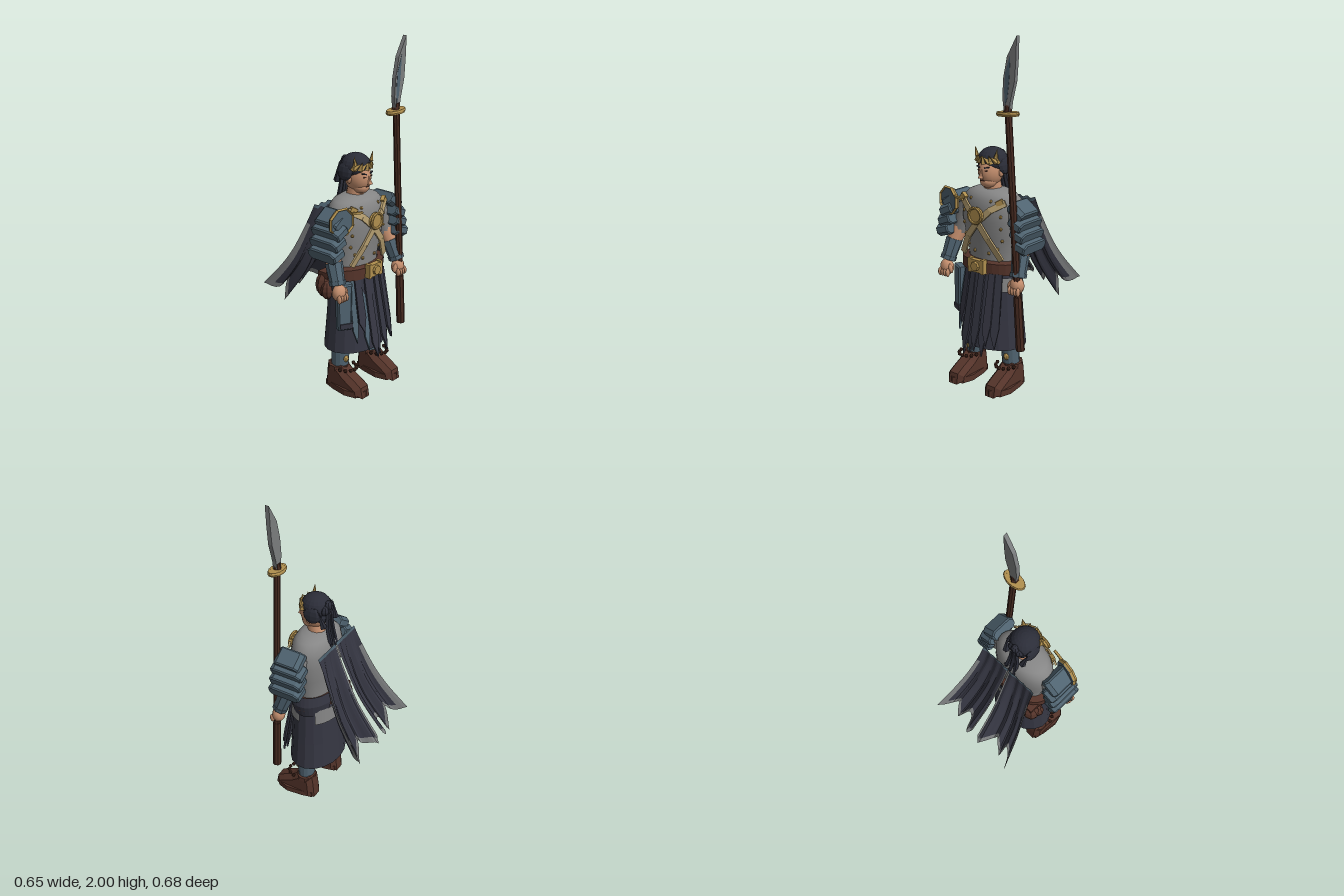
import * as THREE from 'three';

const mat = (name, color, extra = {}) => {
  const m = new THREE.MeshStandardMaterial({ color, ...extra });
  m.name = name;
  return m;
};
const flat = { flatShading: true };
const both = { side: THREE.DoubleSide, flatShading: true };

export function createModel() {
  const steel = mat('tunicGrey', 0x868686, { side: THREE.DoubleSide });
  const slate = mat('plateBlue', 0x4f6370, both);
  const navy = mat('clothNavy', 0x353642, both);
  const gold = mat('gold', 0xb08f4e, flat);
  const tan = mat('strapTan', 0xb7a071, flat);
  const skin = mat('skin', 0xc6906f);
  const brown = mat('leatherBrown', 0x55342a, flat);
  const wood = mat('darkWood', 0x45291f, flat);
  const blade = mat('bladeGrey', 0x7b7d7e, both);
  const hair = mat('hairBlack', 0x2b2d38, flat);

  const root = new THREE.Group();
  const add = (name, geo, m, p = [0, 0, 0], r = [0, 0, 0], s = [1, 1, 1], parent = root) => {
    const o = new THREE.Mesh(geo, m);
    o.name = name;
    o.position.set(...p);
    o.rotation.set(...r);
    o.scale.set(...s);
    parent.add(o);
    return o;
  };
  const V = a => new THREE.Vector3(...a);
  const box = (x, y, z) => new THREE.BoxGeometry(x, y, z);
  const ball = (a = 12, b = 8) => new THREE.SphereGeometry(1, a, b);
  // Tapered round limb from a to b
  const limb = (name, a, b, ra, rb, m, sides = 10) => {
    const d = V(b).sub(V(a));
    const o = add(name, new THREE.CylinderGeometry(rb, ra, d.length(), sides), m,
      V(a).addScaledVector(d, 0.5).toArray());
    o.quaternion.setFromUnitVectors(new THREE.Vector3(0, 1, 0), d.normalize());
  };
  // Flat band from a to b, facing forward
  const band = (name, a, b, w, t, m) => {
    const d = V(b).sub(V(a)), y = d.clone().normalize();
    const x = y.clone().cross(new THREE.Vector3(0, 0, 1)).normalize();
    const o = add(name, box(w, d.length() + 0.006, t), m, V(a).addScaledVector(d, 0.5).toArray());
    o.quaternion.setFromRotationMatrix(new THREE.Matrix4().makeBasis(x, y, x.clone().cross(y)));
  };
  // Oval turned shell; profile is [radius, y]
  const turned = (name, prof, m, depth, seg = 28, from = 0, sweep = Math.PI * 2) =>
    add(name, new THREE.LatheGeometry(prof.map(p => new THREE.Vector2(...p)), seg, from, sweep), m,
      [0, 0, 0.115], [0, 0, 0], [1, 1, depth]);
  const poly = pts => new THREE.Shape(pts.map(p => new THREE.Vector2(...p)));
  const plate = (pts, depth, bevel = 0) => new THREE.ExtrudeGeometry(poly(pts), {
    depth, bevelEnabled: bevel > 0, bevelSize: bevel, bevelThickness: bevel, bevelSegments: 1 });

  // Torso, neck, belt and skirt
  turned('torso', [[0.15, 0.66], [0.155, 0.78], [0.178, 0.88], [0.196, 0.98], [0.194, 1.05], [0.18, 1.1],
    [0.15, 1.13], [0.11, 1.147], [0.05, 1.155], [0, 1.155]], steel, 0.635);
  limb('neck', [0, 1.12, 0.11], [0, 1.22, 0.125], 0.055, 0.045, skin, 12);
  turned('belt', [[0.165, 0.68], [0.198, 0.685], [0.198, 0.748], [0.155, 0.757]], brown, 0.65);
  turned('skirt', [[0.165, 0.74], [0.175, 0.62], [0.19, 0.42], [0.207, 0.245], [0.18, 0.26]], navy, 0.75, 18);
  turned('hipCloth', [[0.195, 0.785], [0.206, 0.72], [0.186, 0.64]], navy, 0.68, 10, 1.15, 1.65);
  turned('sideLining', [[0.184, 0.67], [0.188, 0.59]], steel, 0.77, 6, 0.75, 0.75);
  turned('backLining', [[0.184, 0.68], [0.187, 0.58]], steel, 0.77, 8, 2.15, 1.0);
  add('buckle', box(0.1, 0.072, 0.03), gold, [0, 0.73, 0.255]);
  add('buckleBoss', new THREE.CylinderGeometry(0.026, 0.03, 0.02, 8), gold, [0, 0.73, 0.273], [Math.PI / 2, 0, 0]);
  for (const s of [-1, 1]) add('buckleWing', box(0.02, 0.082, 0.036), gold, [s * 0.045, 0.73, 0.253]);

  // Torn strips hanging at the front
  const strips = [[-0.125, 0.3, 1], [-0.095, 0.36, 0], [-0.065, 0.24, 1], [-0.04, 0.2, 0], [-0.01, 0.21, 0],
    [0.025, 0.23, 0], [0.055, 0.2, 0], [0.085, 0.27, 0], [0.12, 0.25, 0]];
  strips.forEach(([x, y, blue], i) => {
    const h = 0.68 - y, w = blue ? 0.017 : 0.024;
    add('frontStrip', plate([[-w * 0.8, 0], [-w, -h * 0.8], [w * 0.2, -h], [w, -h * 0.72], [w * 0.8, 0]], 0.012),
      blue ? slate : navy, [x, 0.69, 0.232 - Math.abs(x) * (x > 0 ? 0.22 : 0.35) + (i % 2) * 0.01],
      [-0.17 - (i % 2) * 0.03, x * 3, x * 0.25]);
  });
  // Hip plate and pouches
  add('hipPlate', plate([[-0.03, -0.13], [0.03, -0.13], [0.036, 0.13], [-0.036, 0.13]], 0.04, 0.008), slate,
    [-0.17, 0.54, 0.17], [0, -0.5, 0]);
  add('hipPlateEdge', box(0.075, 0.03, 0.06), navy, [-0.175, 0.43, 0.195], [0, -0.5, 0]);
  for (const [x, y, z, r] of [[-0.155, 0.62, 0.02, 0.055], [-0.1, 0.61, 0, 0.045], [-0.175, 0.6, 0.06, 0.04]])
    add('pouch', ball(8, 6), brown, [x, y, z], [0, 0, 0], [r, r * 1.4, r * 0.9]);
  add('pouchFlap', box(0.07, 0.035, 0.07), brown, [-0.145, 0.685, 0.03]);

  // Crossed straps, medallion and studs
  for (const s of [-1, 1]) {
    const pts = [[-0.155, 1.1, 0.2], [-0.08, 1.055, 0.24], [0, 0.98, 0.253], [0.07, 0.89, 0.246], [0.135, 0.775, 0.21]];
    for (let i = 0; i < 4; i++)
      band('chestStrap', [s * pts[i][0], pts[i][1], pts[i][2]], [s * pts[i + 1][0], pts[i + 1][1], pts[i + 1][2]], 0.036, 0.012, tan);
    add('strapClip', box(0.04, 0.028, 0.022), gold, [s * 0.125, 1.1, 0.21], [0, s * 0.4, s * 0.5]);
    for (const [x, y, z] of [[0.13, 1.02, 0.208], [0.13, 0.95, 0.207], [0.13, 0.88, 0.195], [0.07, 1.1, 0.217],
      [0.1, 0.83, 0.198], [0.05, 0.8, 0.214]])
      add('chestStud', ball(6, 4), gold, [s * x, y, z], [0, 0, 0], [0.01, 0.01, 0.01]);
  }
  add('medallion', new THREE.CylinderGeometry(0.042, 0.046, 0.02, 14), gold, [0, 1.02, 0.262], [Math.PI / 2, 0, 0]);
  add('medallionRim', new THREE.TorusGeometry(0.044, 0.008, 6, 14), gold, [0, 1.02, 0.273]);

  // Arms, shoulder plates, legs and boots
  const shoulder = plate([[-0.1, -0.018], [-0.08, -0.034], [0.08, -0.034], [0.1, -0.018],
    [0.1, 0.008], [0.075, 0.024], [-0.075, 0.024], [-0.1, 0.008]], 0.075, 0.007);
  shoulder.translate(0, 0, -0.0375).rotateY(Math.PI / 2);
  const tilt = [0.62, 0.45, 0.38, 0.32];
  const bootSide = plate([[0.075, 0.02], [0.08, 0.09], [0.085, 0.125], [0.145, 0.125], [0.19, 0.09], [0.25, 0.06],
    [0.285, 0.04], [0.29, 0.02]], 0.06, 0.028);
  bootSide.translate(0, 0, -0.03).rotateY(-Math.PI / 2);
  const sole = plate([[-0.045, 0.055], [0.045, 0.055], [0.062, 0.12], [0.074, 0.22], [0.055, 0.29], [0, 0.325],
    [-0.055, 0.29], [-0.074, 0.22], [-0.062, 0.12]], 0.035);
  sole.rotateX(Math.PI / 2).translate(0, 0.035, 0);
  for (const s of [-1, 1]) {
    limb('sleeve', [s * 0.17, 1.05, 0.125], [s * 0.225, 0.87, 0.135], 0.06, 0.05, steel);
    limb('elbow', [s * 0.222, 0.9, 0.135], [s * 0.243, 0.8, 0.175], 0.048, 0.043, skin);
    limb('bracer', [s * 0.24, 0.82, 0.17], [s * 0.255, 0.705, 0.212], 0.05, 0.042, slate, 8);
    limb('bracerCuff', [s * 0.252, 0.725, 0.205], [s * 0.255, 0.703, 0.213], 0.048, 0.046, slate, 8);
    add('hand', ball(10, 8), skin, [s * 0.255, 0.66, 0.222], [0, 0, 0], [0.042, 0.05, 0.038]);
    for (let i = 0; i < 4; i++)
      add('finger', ball(7, 5), skin, [s * (0.226 + i * 0.019), 0.635, 0.25], [0, 0, 0], [0.011, 0.026, 0.016]);
    add('thumb', ball(7, 5), skin, [s * 0.215, 0.66, 0.235], [0, 0, s * -0.3], [0.013, 0.028, 0.014]);
    tilt.forEach((t, i) => add('shoulderPlate', shoulder, slate,
      [s * (0.236 + i * 0.013), 1.066 - i * 0.06, 0.145], [0, 0, -s * t], [i ? 1 : 1.2, 1, i ? 0.94 : 0.75]));
    limb('leg', [s * 0.135, 0.1, 0.12], [s * 0.12, 0.42, 0.12], 0.048, 0.062, slate, 14);
    add('kneeStud', ball(8, 6), gold, [s * 0.14, 0.19, 0.172], [0, 0, 0], [0.018, 0.02, 0.014]);
    add('boot', bootSide, brown, [s * 0.138, 0, 0]);
    add('sole', sole, brown, [s * 0.138, 0, 0]);
    add('bootCuff', new THREE.CylinderGeometry(0.061, 0.063, 0.025, 10), brown, [s * 0.138, 0.132, 0.115]);
    for (let i = 0; i < 7; i++) {
      const a = (i - 3) * 0.42;
      add('ankleBead', ball(6, 4), wood, [s * 0.138 + Math.sin(a) * 0.062, 0.142, 0.15 + Math.cos(a) * 0.085],
        [0, 0, 0], [0.012, 0.012, 0.012]);
    }
  }
  // Eight-sided shoulder shield with an open rim
  const shield = new THREE.Group();
  shield.name = 'shoulderShield';
  shield.position.set(-0.233, 1.06, 0.222);
  shield.rotation.y = -0.2;
  root.add(shield);
  const turn = [Math.PI / 2, Math.PI / 8, 0];
  add('shieldFace', new THREE.CylinderGeometry(0.078, 0.078, 0.018, 8), slate, [0, 0, -0.008], turn, [1, 1, 1], shield);
  add('shieldRim', new THREE.TorusGeometry(0.079, 0.007, 4, 8), gold, [0, 0, 0], [0, 0, Math.PI / 8], [1, 1, 1.8], shield);
  add('shieldLink', box(0.07, 0.012, 0.014), gold, [0.1, 0.035, 0.005], [0, 0, -0.1], [1, 1, 1], shield);

  // Head and face
  add('head', ball(18, 14), skin, [0, 1.252, 0.13], [0, 0, 0], [0.066, 0.092, 0.082]);
  add('jaw', ball(12, 8), skin, [0, 1.195, 0.15], [0, 0, 0], [0.048, 0.04, 0.054]);
  add('nose', new THREE.ConeGeometry(0.015, 0.05, 4), skin, [0, 1.243, 0.215], [-0.25, Math.PI / 4, 0]);
  add('mouth', box(0.026, 0.005, 0.006), brown, [0, 1.204, 0.203]);
  for (const s of [-1, 1]) {
    add('eye', box(0.016, 0.006, 0.006), wood, [s * 0.027, 1.261, 0.204], [0, s * 0.35, 0]);
    add('brow', box(0.028, 0.006, 0.01), hair, [s * 0.029, 1.279, 0.202], [0, s * 0.35, s * 0.2]);
    add('ear', ball(8, 6), skin, [s * 0.068, 1.245, 0.125], [0, 0, 0], [0.012, 0.025, 0.018]);
    add('sideLock', ball(8, 6), hair, [s * 0.074, 1.285, 0.1], [0, 0, s * 0.15], [0.018, 0.05, 0.055]);
    add('hairFin', new THREE.ConeGeometry(0.02, 0.11, 5), hair, [s * 0.07, 1.27, 0.045], [0.25, 0, s * -0.15]);
    add('crownHorn', new THREE.ConeGeometry(0.013, 0.055, 5), gold, [s * 0.072, 1.358, 0.17], [0, 0, s * -0.2]);
  }
  // Hair, knot, tail and leaf crown
  add('hairCap', ball(18, 12), hair, [0, 1.308, 0.115], [0, 0, 0], [0.083, 0.072, 0.085]);
  add('hairNape', ball(10, 8), hair, [0, 1.255, 0.085], [0, 0, 0], [0.06, 0.05, 0.055]);
  for (const [x, y, z] of [[0, 1.325, 0.04], [0.026, 1.305, 0.045], [-0.026, 1.305, 0.045], [0, 1.285, 0.04]])
    add('hairKnot', ball(8, 6), hair, [x, y, z], [0, 0, 0], [0.028, 0.03, 0.025]);
  for (let i = -1; i <= 1; i++) {
    const path = new THREE.CatmullRomCurve3([V([i * 0.012, 1.3, 0.03]), V([i * 0.022, 1.2, 0.03]), V([i * 0.03, 1.08 + i * 0.02, 0.005])]);
    add('hairTail', new THREE.TubeGeometry(path, 6, 0.014, 5), hair);
    add('hairTailTip', new THREE.ConeGeometry(0.014, 0.04, 5), hair, [i * 0.031, 1.064 + i * 0.02, 0.002], [Math.PI, 0, 0]);
  }
  for (let i = -4; i <= 4; i++) {
    const a = i * 0.24;
    add('crownLeaf', new THREE.ConeGeometry(0.017, 0.05, 4), gold,
      [Math.sin(a) * 0.085, 1.33 - Math.cos(a) * 0.008, 0.117 + Math.cos(a) * 0.084], [0.25, a, (i % 2) * 0.7]);
  }

  // Cape halves: pleated grid with a ragged hem, split by colour
  const spine = new THREE.CatmullRomCurve3([V([0, 1.095, -0.012]), V([0, 0.95, -0.075]), V([0, 0.75, -0.175]), V([0, 0.515, -0.36])]);
  const hem = [[0, 0.92], [0.08, 0.97], [0.4, 0.84], [0.58, 0.98], [0.74, 0.83], [0.93, 0.93], [1, 0.95]];
  const hemAt = u => {
    const k = Math.max(1, hem.findIndex(h => h[0] >= u)), [a, p] = hem[k - 1], [b, q] = hem[k];
    return p + (q - p) * (u - a) / (b - a);
  };
  const NU = 26, NV = 24;
  const capePoint = (i, j, s) => {
    const u = i / NU, v = j / NV, t = v * hemAt(u), p = spine.getPoint(t);
    const sag = Math.sin(Math.PI * u) * 0.105 * Math.pow(t, 0.65) + Math.cos(u * Math.PI * 7) * 0.013 * (0.4 + t);
    const flare = 0.192 + 0.08 * t * t;
    return [s * (0.004 + 0.022 * t * t + flare * u), p.y - sag * 0.8, p.z + sag * 0.55];
  };
  const tone = (i, j) => (j === 0 ? 1 : (i >= NU - 2 && j > 6) || i === 0 || j === NV - 1 ? 2 : 0);
  for (const s of [-1, 1]) {
    const parts = [[], [], []];
    for (let i = 0; i < NU; i++) for (let j = 0; j < NV; j++) {
      const a = capePoint(i, j, s), b = capePoint(i + 1, j, s), c = capePoint(i + 1, j + 1, s), d = capePoint(i, j + 1, s);
      parts[tone(i, j)].push(...(s > 0 ? [a, b, c, a, c, d] : [a, c, b, a, d, c]).flat());
    }
    ['cape', 'capeCollar', 'capeHem'].forEach((name, k) => {
      const g = new THREE.BufferGeometry();
      g.setAttribute('position', new THREE.Float32BufferAttribute(parts[k], 3));
      g.computeVertexNormals();
      add(name, g, [navy, slate, blade][k]);
    });
  }

  // Polearm
  limb('pole', [0.286, 0.29, 0.23], [0.198, 1.64, 0.23], 0.021, 0.019, wood, 8);
  limb('poleGrip', [0.286, 0.29, 0.23], [0.266, 0.6, 0.23], 0.025, 0.024, wood, 8);
  add('guard', new THREE.CylinderGeometry(0.068, 0.068, 0.022, 14), gold, [0.197, 1.595, 0.23], [0, 0, 0.06], [1, 1, 0.55]);
  add('guardRim', new THREE.TorusGeometry(0.06, 0.013, 6, 14), gold, [0.197, 1.595, 0.23], [Math.PI / 2, 0.06, 0], [1, 0.55, 1]);
  add('blade', plate([[0.18, 1.61], [0.17, 1.68], [0.176, 1.78], [0.2, 1.89], [0.262, 1.998], [0.258, 1.88],
    [0.25, 1.77], [0.222, 1.66], [0.215, 1.61]], 0.024), blade, [0, 0, 0.218]);
  add('bladeCore', plate([[0.188, 1.64], [0.183, 1.72], [0.19, 1.81], [0.222, 1.9], [0.216, 1.78], [0.204, 1.68]], 0.002), slate, [0, 0, 0.2415]);
  add('bladeSocket', new THREE.ConeGeometry(0.025, 0.08, 6), wood, [0.196, 1.64, 0.23]);
  return root;
}
